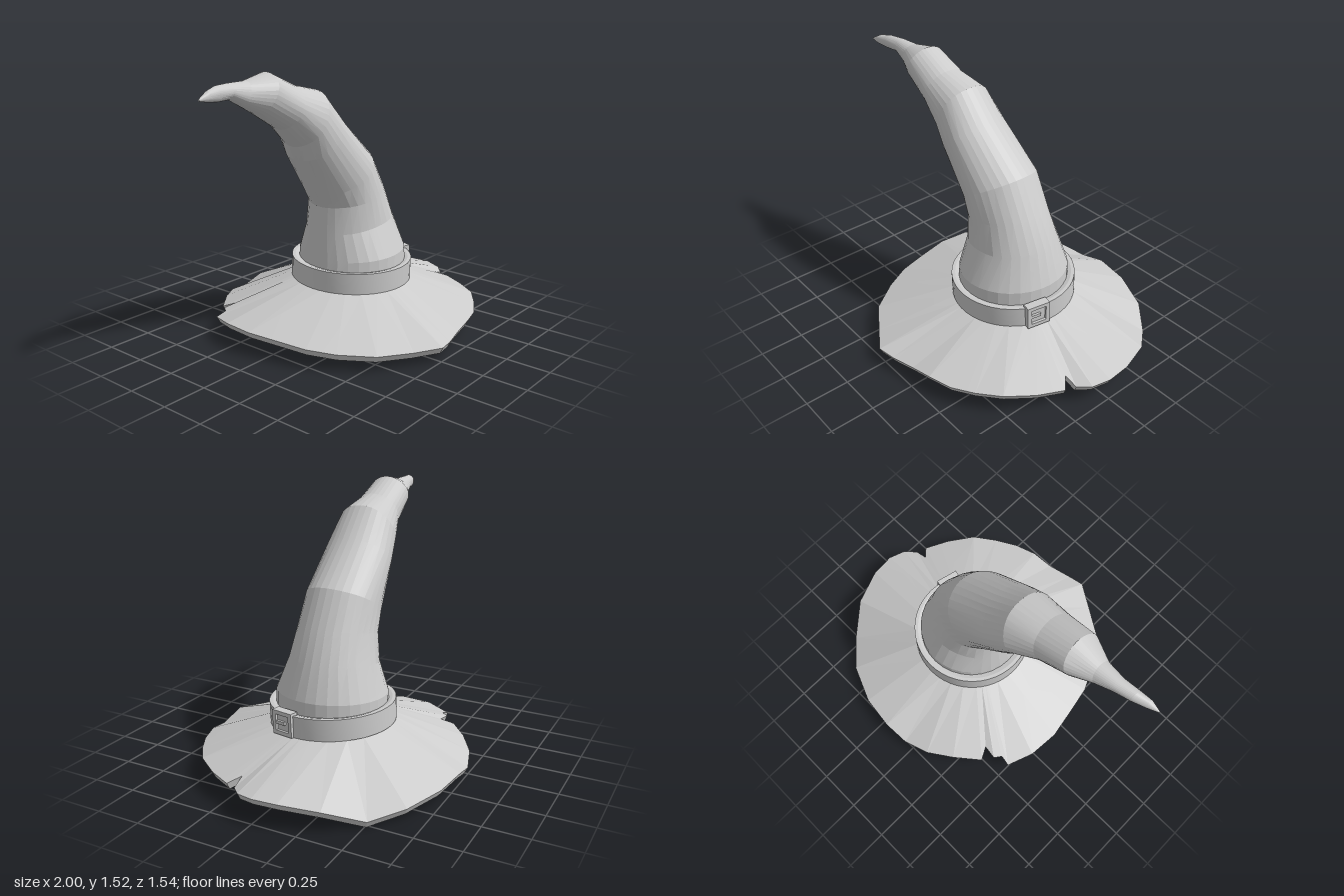
import * as THREE from 'three';
import { toCreasedNormals } from 'three/addons/utils/BufferGeometryUtils.js';

const material = new THREE.MeshStandardMaterial({ color: 0xcccccc, side: THREE.DoubleSide });
const CX = 0.2, CZ = -0.02; // axis of the hat's head opening

// Skin a list of closed rings that all have the same number of points
function loft(rings, crease) {
  const n = rings[0].length;
  const index = [];
  for (let i = 0; i < rings.length - 1; i++) {
    for (let j = 0; j < n; j++) {
      const k = (j + 1) % n;
      const a = i * n + j, b = i * n + k, c = b + n, d = a + n;
      index.push(a, d, b, d, c, b);
    }
  }
  const geometry = new THREE.BufferGeometry().setFromPoints(rings.flat());
  geometry.setIndex(index);
  return toCreasedNormals(geometry, crease);
}

function addMesh(parent, name, geometry) {
  const mesh = new THREE.Mesh(geometry, material);
  mesh.name = name;
  parent.add(mesh);
  return mesh;
}

// Bent crown: each section is [outer x, outer y, inner x, inner y, half depth, centre z]
function crownGeometry() {
  const sections = [
    [0.51, 0.29, -0.11, 0.29, 0.315, -0.018],
    [0.505, 0.46, -0.10, 0.43, 0.31, -0.018],
    [0.445, 0.65, -0.08, 0.58, 0.242, -0.025],
    [0.365, 0.82, -0.07, 0.73, 0.218, -0.02],
    [0.26, 1.02, -0.11, 0.80, 0.212, -0.02],
    [0.00, 1.24, -0.27, 1.03, 0.19, -0.012],
    [-0.15, 1.40, -0.31, 1.11, 0.172, -0.01],
    [-0.33, 1.44, -0.43, 1.22, 0.135, 0],
    [-0.51, 1.52, -0.60, 1.32, 0.118, 0],
    [-0.66, 1.49, -0.70, 1.37, 0.062, 0],
    [-0.78, 1.49, -0.78, 1.41, 0.041, 0.005],
    [-0.87, 1.488, -0.87, 1.41, 0.033, 0.02],
    [-0.94, 1.472, -0.95, 1.42, 0.022, 0.038],
    [-1.00, 1.44, -1.00, 1.43, 0.004, 0.045],
  ];
  const sides = 32;
  const rings = sections.map(([ox, oy, ix, iy, hz, cz], i) =>
    Array.from({ length: sides }, (_, j) => {
      const a = (j / sides) * Math.PI * 2;
      // Slight dents on the two sides, none on the base
      const dent = i < 2 ? 1 : 1 + 0.02 * Math.sin(a) * Math.sin(4 * a + i * 2);
      const t = (1 + dent * Math.cos(a)) / 2;
      return new THREE.Vector3(
        ix + (ox - ix) * t, iy + (oy - iy) * t, cz + dent * hz * Math.sin(a));
    }));
  return loft(rings, 0.15);
}

// Floppy brim: wavy rim points [x, lower y, z] with two torn notches
function brimGeometry() {
  const rim = [
    [1, 0.10, 0], [0.97, 0.09, 0.1], [0.91, 0.08, 0.16], [0.83, 0.108, 0.165], [0.89, 0.08, 0.22],
    [0.82, 0.08, 0.36], [0.72, 0.085, 0.5], [0.6, 0.075, 0.59], [0.48, 0.07, 0.66],
    [0.35, 0.075, 0.70], [0.22, 0.055, 0.715], [0.08, 0.05, 0.75], [-0.02, 0.055, 0.768],
    [-0.16, 0.05, 0.68], [-0.33, 0.055, 0.57], [-0.45, 0.06, 0.40], [-0.52, 0.07, 0.25],
    [-0.55, 0.08, 0.1], [-0.585, 0.09, -0.1], [-0.57, 0.09, -0.28], [-0.51, 0.07, -0.43],
    [-0.45, 0.09, -0.42], [-0.42, 0.09, -0.46], [-0.34, 0.098, -0.45], [-0.375, 0.07, -0.52],
    [-0.24, 0.07, -0.63], [-0.1, 0.05, -0.72], [0.05, 0.025, -0.765], [0.2, 0.06, -0.775],
    [0.4, 0.05, -0.75], [0.62, 0.03, -0.66], [0.78, 0, -0.52], [0.92, 0.075, -0.34],
    [0.99, 0.10, -0.14],
  ];
  // Circle around the head opening, lined up with the rim points
  const circle = (r, y) => rim.map(([x, , z]) => {
    const a = Math.atan2(z - CZ, x - CX);
    const dz = r * Math.sin(a);
    return new THREE.Vector3(CX + r * Math.cos(a), y - 0.035 * dz, CZ + dz);
  });
  // Rim loop, raised by lift and drawn in towards the axis by scale
  const edge = (lift, scale) => rim.map(([x, y, z]) =>
    new THREE.Vector3(CX + (x - CX) * scale, y + lift, CZ + (z - CZ) * scale));
  return loft([
    circle(0.001, 0.295), circle(0.22, 0.295), circle(0.3, 0.195), // closed head recess
    edge(0, 0.975), edge(0.037, 1), circle(0.34, 0.272), circle(0.3, 0.285),
  ], 0.04);
}

// Hat band: flat-topped ring
function bandGeometry() {
  const profile = [[0.315, -0.055], [0.35, -0.06], [0.35, 0.06], [0.33, 0.06], [0.295, 0.05]]
    .map(([r, y]) => new THREE.Vector2(r, y));
  return toCreasedNormals(new THREE.LatheGeometry(profile, 48), 0.25);
}

// Square buckle frame with its plate and prong
function buildBuckle() {
  const buckle = new THREE.Group();
  buckle.name = 'buckle';
  const square = (h) => [[-h, -h], [h, -h], [h, h], [-h, h]].map(([x, y]) => new THREE.Vector2(x, y));
  const shape = new THREE.Shape(square(0.067));
  shape.holes.push(new THREE.Path(square(0.045)));
  addMesh(buckle, 'buckleFrame',
    new THREE.ExtrudeGeometry(shape, { depth: 0.05, bevelEnabled: false })).position.z = -0.03;
  addMesh(buckle, 'bucklePlate', new THREE.BoxGeometry(0.12, 0.12, 0.02)).position.z = -0.005;
  addMesh(buckle, 'buckleProng', new THREE.BoxGeometry(0.06, 0.018, 0.02)).position.set(-0.015, 0, 0.008);
  return buckle;
}

export function createModel() {
  const hat = new THREE.Group();
  hat.name = 'pointedHat';
  addMesh(hat, 'crown', crownGeometry());
  addMesh(hat, 'brim', brimGeometry());

  // Band and buckle share one slight tilt
  const bandGroup = new THREE.Group();
  bandGroup.name = 'hatBand';
  bandGroup.position.set(CX, 0.332, CZ);
  bandGroup.rotation.x = 0.035;
  addMesh(bandGroup, 'band', bandGeometry());
  const buckle = buildBuckle();
  buckle.position.set(0.328, 0.008, 0.115);
  buckle.rotation.y = Math.PI / 2 - 0.22;
  bandGroup.add(buckle);
  hat.add(bandGroup);
  return hat;
}
